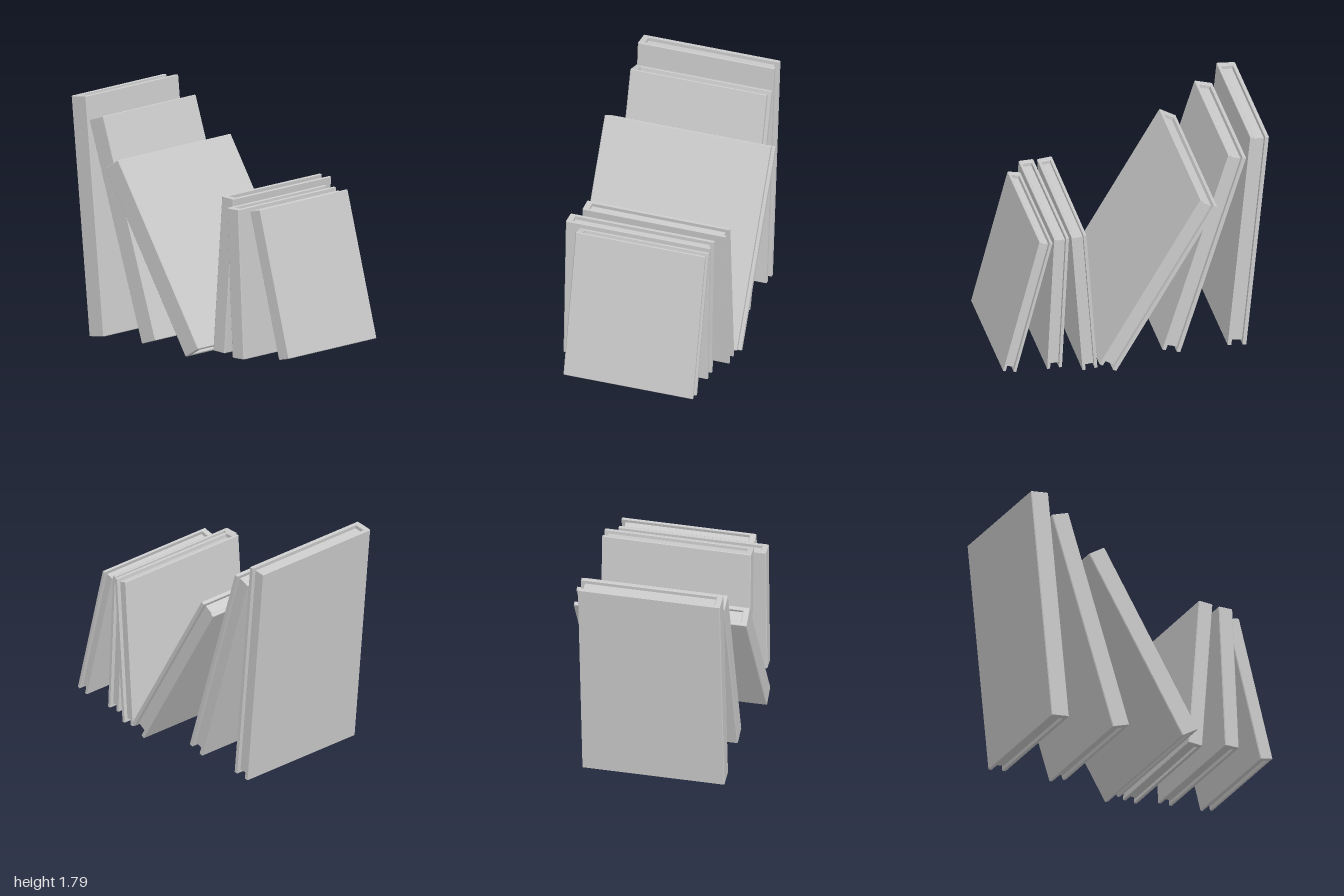
import * as THREE from 'three';

const material = new THREE.MeshStandardMaterial({ color: 0xcccccc });
const BEVEL = 0.004;

// U-shaped binding: spine at +z, open at the back, extruded along the book's height
function bindingGeometry(w, h, d, board, spine) {
  const x = w / 2, y = d / 2, c = 0.006;
  const shape = new THREE.Shape([
    [-x + c, -y], [x - c, -y], [x, -y + c], [x, y], [x - board, y],
    [x - board, -y + spine], [-x + board, -y + spine], [-x + board, y], [-x, y], [-x, -y + c],
  ].map(([a, b]) => new THREE.Vector2(a, b)));
  const geometry = new THREE.ExtrudeGeometry(shape, {
    depth: h - 2 * BEVEL, bevelEnabled: true, bevelSegments: 1,
    bevelThickness: BEVEL, bevelSize: BEVEL, bevelOffset: -BEVEL,
  });
  return geometry.translate(0, 0, BEVEL - h / 2).rotateX(-Math.PI / 2);
}

// One book from its top-left, top-right and bottom-left corners on the spine side,
// its back and front z, and the sideways drift of its back edge
function book(name, [tl, tr, bl], back, front, drift = 0) {
  const across = new THREE.Vector3(tr[0] - tl[0], tr[1] - tl[1], 0);
  const up = new THREE.Vector3(tl[0] - bl[0], tl[1] - bl[1], 0);
  const w = across.length(), h = up.length(), d = front - back;
  const board = w * 0.2, spine = 0.045, inset = 0.03;

  const centre = new THREE.Vector3((tr[0] + bl[0]) / 2 + drift / 2, (tr[1] + bl[1]) / 2, (front + back) / 2);
  const place = new THREE.Matrix4()
    .makeBasis(across.normalize(), up.normalize(), new THREE.Vector3(-drift / d, 0, 1))
    .setPosition(centre);

  const group = new THREE.Group();
  group.name = name;
  const add = (part, geometry) => {
    const mesh = new THREE.Mesh(geometry.applyMatrix4(place), material);
    mesh.name = part;
    group.add(mesh);
  };

  add('cover', bindingGeometry(w, h, d, board, spine));
  // Page block, set back from the top, bottom and open edge
  add('pages', new THREE.BoxGeometry(w - 2 * board + 0.004, h - 2 * inset, d - spine - inset + 0.004)
    .translate(0, 0, (inset - spine) / 2 + 0.002));
  return group;
}

export function createModel() {
  const model = new THREE.Group();
  model.name = 'leaningBooks';
  model.add(
    book('tallBook', [[-1, 1.781], [-0.86, 1.795], [-0.83, 0.014]], -0.53, 0.525),
    book('secondBook', [[-0.83, 1.625], [-0.696, 1.667], [-0.334, 0.02]], -0.53, 0.525),
    book('wideBook', [[-0.585, 1.312], [-0.46, 1.388], [0.175, 0.004]], -0.645, 0.64),
    book('fourthBook', [[0.386, 1.203], [0.497, 1.194], [0.302, 0.045]], -0.63, 0.478, 0.008),
    book('fifthBook', [[0.504, 1.144], [0.615, 1.143], [0.557, 0.036]], -0.55, 0.565),
    book('endBook', [[0.627, 1.117], [0.725, 1.139], [0.901, 0.044]], -0.55, 0.45),
  );
  return model;
}
